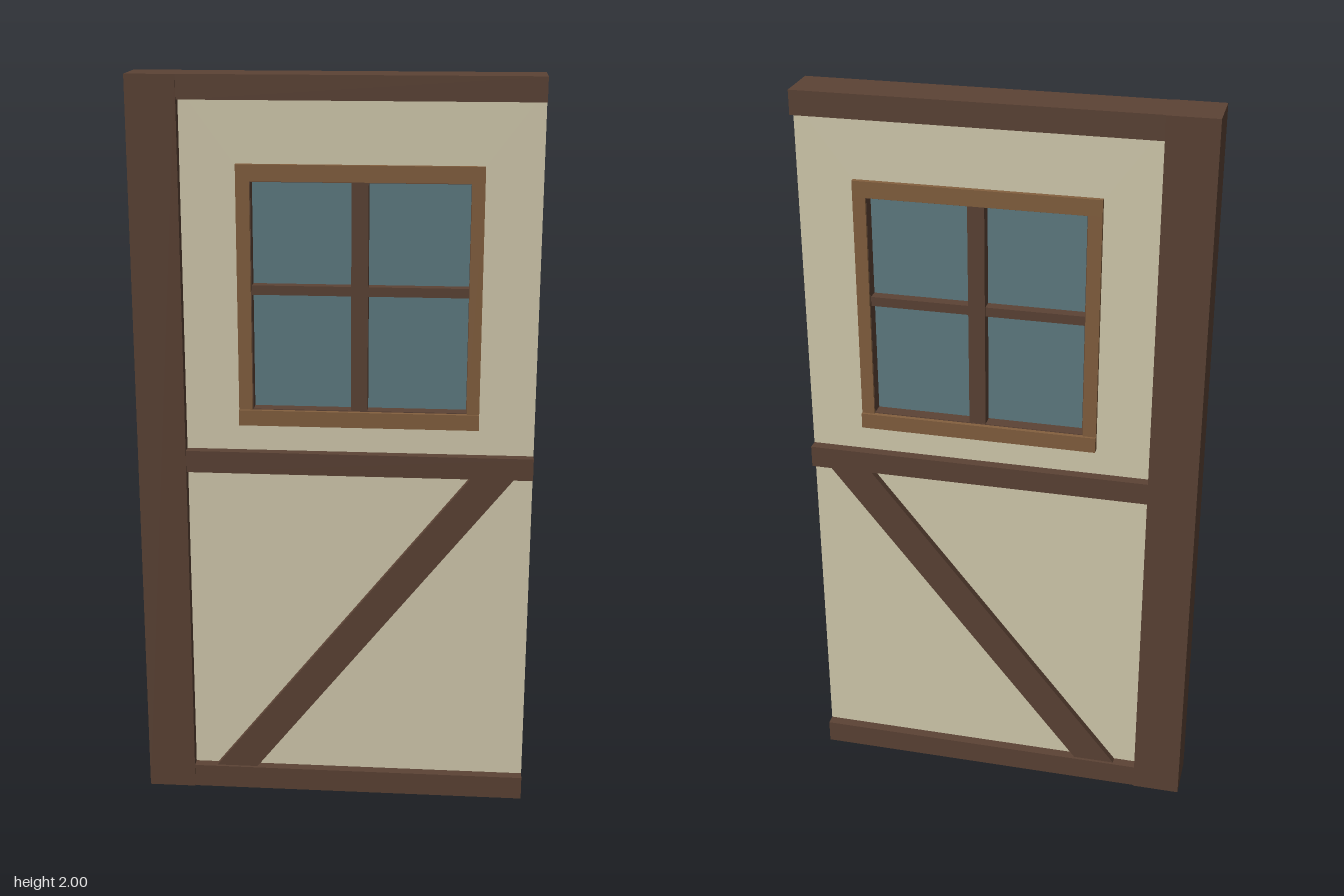
import * as THREE from 'three';

const material = (name, color) => {
  const m = new THREE.MeshStandardMaterial({ color });
  m.name = name;
  return m;
};

export function createModel() {
  const timber = material('dark timber', 0x5c4335);
  const trim = material('window wood', 0x84603f);
  const plaster = material('cream plaster', 0xd5cdb0);
  const glass = material('blue grey glass', 0x5f7c83);

  const model = new THREE.Group();
  model.name = 'timberFramedWall';

  // Adds a mesh to a parent
  const add = (parent, name, geometry, mat) => {
    const mesh = new THREE.Mesh(geometry, mat);
    mesh.name = name;
    parent.add(mesh);
  };
  // Box between x and y limits, reaching the same depth front and back
  const slab = (parent, name, mat, x0, x1, y0, y1, halfDepth) => {
    const g = new THREE.BoxGeometry(x1 - x0, y1 - y0, halfDepth * 2);
    g.translate((x0 + x1) / 2, (y0 + y1) / 2, 0);
    add(parent, name, g, mat);
  };
  // Outline extruded evenly about z = 0
  const plate = (parent, name, mat, points, halfDepth, hole) => {
    const toVectors = (list) => list.map(([x, y]) => new THREE.Vector2(x, y));
    const shape = new THREE.Shape(toVectors(points));
    if (hole) shape.holes.push(new THREE.Path(toVectors(hole)));
    const g = new THREE.ExtrudeGeometry(shape, { depth: halfDepth * 2, bevelEnabled: false });
    g.translate(0, 0, -halfDepth);
    add(parent, name, g, mat);
  };
  const rect = (x0, x1, y0, y1) => [[x0, y0], [x1, y0], [x1, y1], [x0, y1]];

  const left = -0.53, right = 0.53, inner = -0.4;

  // Plaster panel with the window opening
  plate(model, 'plasterPanel', plaster, rect(inner, right, 0.03, 1.97), 0.036,
    rect(-0.24, 0.365, 1.105, 1.75));

  // Post and three horizontal beams
  slab(model, 'cornerPost', timber, left, inner, 0, 2, 0.067);
  slab(model, 'bottomBeam', timber, inner, right, 0, 0.065, 0.064);
  slab(model, 'middleBeam', timber, inner, right, 0.95, 1.01, 0.064);
  slab(model, 'topBeam', timber, inner, right, 1.937, 2, 0.064);

  // Diagonal brace, cut level where it meets the beams
  plate(model, 'diagonalBrace', timber,
    [[-0.34, 0.06], [-0.225, 0.06], [0.485, 0.955], [0.37, 0.955]], 0.056);

  const windowUnit = new THREE.Group();
  windowUnit.name = 'window';
  model.add(windowUnit);

  // Dark lining of the opening
  plate(windowUnit, 'windowLining', timber, rect(-0.24, 0.365, 1.105, 1.75), 0.044,
    rect(-0.217, 0.348, 1.127, 1.73));
  slab(windowUnit, 'glassPane', glass, -0.22, 0.35, 1.125, 1.732, 0.008);
  slab(windowUnit, 'verticalBar', timber, 0.043, 0.087, 1.125, 1.732, 0.043);
  slab(windowUnit, 'horizontalBar', timber, -0.22, 0.35, 1.435, 1.46, 0.038);

  // Outer casing, with a deeper sill
  slab(windowUnit, 'leftCasing', trim, -0.255, -0.219, 1.125, 1.732, 0.049);
  slab(windowUnit, 'rightCasing', trim, 0.349, 0.383, 1.125, 1.732, 0.049);
  slab(windowUnit, 'headCasing', trim, -0.255, 0.383, 1.732, 1.775, 0.049);
  slab(windowUnit, 'sill', trim, -0.255, 0.383, 1.083, 1.125, 0.056);

  return model;
}
